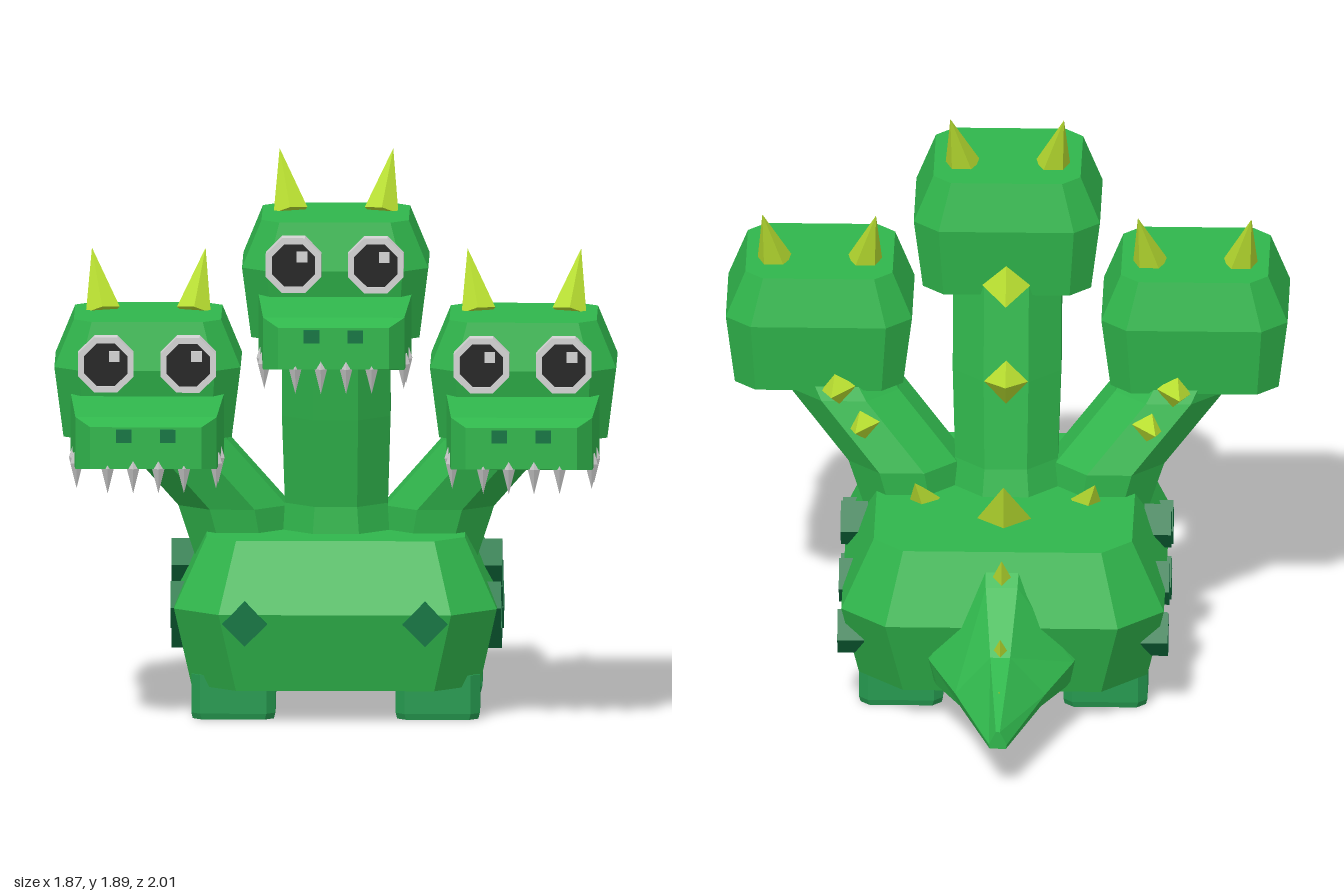
import * as THREE from 'three';

const mat = (name, color) => {
  const m = new THREE.MeshStandardMaterial({ color, flatShading: true });
  m.name = name;
  return m;
};

// Skin between closed rings of equal length, with both ends capped
function loft(rings) {
  const pos = [];
  const tri = (...pts) => pts.forEach((p) => pos.push(...p));
  const n = rings[0].length;
  for (let r = 0; r < rings.length - 1; r++) {
    const a = rings[r], b = rings[r + 1];
    for (let i = 0; i < n; i++) {
      const j = (i + 1) % n;
      tri(a[i], a[j], b[j]);
      tri(a[i], b[j], b[i]);
    }
  }
  const lo = rings[0], hi = rings[rings.length - 1];
  for (let i = 1; i < n - 1; i++) {
    tri(lo[0], lo[i + 1], lo[i]);
    tri(hi[0], hi[i], hi[i + 1]);
  }
  const g = new THREE.BufferGeometry();
  g.setAttribute('position', new THREE.Float32BufferAttribute(pos, 3));
  g.computeVertexNormals();
  return g;
}

// Level rectangle with cut corners
const cutRect = (y, hx, z0, z1, c) => [
  [c - hx, y, z1], [hx - c, y, z1], [hx, y, z1 - c], [hx, y, z0 + c],
  [hx - c, y, z0], [c - hx, y, z0], [-hx, y, z0 + c], [-hx, y, z1 - c],
];

// Level polygon for the necks
const polygon = (x, y, z, r, n = 8) => Array.from({ length: n }, (_, i) => {
  const a = ((i + 0.5) / n) * Math.PI * 2;
  return [x + r * Math.sin(a), y, z + r * Math.cos(a)];
});

export function createModel() {
  const model = new THREE.Group();
  const skin = mat('green skin', 0x30b64c);
  const footSkin = mat('foot green', 0x269a50);
  const spot = mat('dark teal spot', 0x0f7542);
  const spikeMat = mat('lime spike', 0xb8de30);
  const white = mat('pale eye rim', 0xd4d4d4);
  const black = mat('eye black', 0x222222);
  const bone = mat('tooth grey', 0xc4c4c4);

  const add = (parent, name, geometry, material, x = 0, y = 0, z = 0) => {
    const m = new THREE.Mesh(geometry, material);
    m.name = name;
    m.position.set(x, y, z);
    parent.add(m);
    return m;
  };

  // Four-sided spike from a base point to a tip
  const spike = (name, base, tip, r) => {
    const a = new THREE.Vector3(...base), b = new THREE.Vector3(...tip);
    const d = b.clone().sub(a);
    const h = d.length();
    const m = add(model, name, new THREE.ConeGeometry(r, h, 4), spikeMat);
    m.position.copy(a.add(b).multiplyScalar(0.5));
    m.quaternion.setFromUnitVectors(new THREE.Vector3(0, 1, 0), d.normalize());
  };

  // Body
  add(model, 'body', loft([
    cutRect(0.11, 0.48, -0.43, 0.6, 0.15),
    cutRect(0.375, 0.537, -0.515, 0.67, 0.15),
    cutRect(0.61, 0.43, -0.42, 0.57, 0.1),
  ]), skin);

  // Tail, from tip to base
  const tailRing = (z, w, b, t) => [
    [-w * 0.9, b, z], [w * 0.9, b, z], [w, b + (t - b) * 0.25, z],
    [w * 0.22, t, z], [-w * 0.22, t, z], [-w, b + (t - b) * 0.25, z],
  ];
  add(model, 'tail', loft([
    tailRing(-1, 0.03, 0.15, 0.21),
    tailRing(-0.68, 0.15, 0.165, 0.34),
    tailRing(-0.49, 0.24, 0.155, 0.51),
    tailRing(-0.38, 0.27, 0.15, 0.6),
  ]), skin);

  // Feet
  const footGeo = loft([
    cutRect(0, 0.135, -0.1, 0.1, 0.03),
    cutRect(0.02, 0.14, -0.105, 0.105, 0.03),
    cutRect(0.15, 0.14, -0.105, 0.105, 0.03),
  ]);
  for (const s of [-1, 1])
    for (const z of [0.405, -0.205]) add(model, 'foot', footGeo, footSkin, s * 0.34, 0, z);

  // Diamond blocks on the flanks and chest
  const flankGeo = new THREE.BoxGeometry(0.09, 0.112, 0.112).rotateX(Math.PI / 4);
  const chestGeo = new THREE.BoxGeometry(0.106, 0.106, 0.07).rotateZ(Math.PI / 4);
  for (const s of [-1, 1]) {
    for (const [z, y] of [[0.39, 0.37], [0.12, 0.475], [0.155, 0.27], [-0.115, 0.37], [-0.31, 0.27]])
      add(model, 'flankSpot', flankGeo, spot, s * 0.505, y, z);
    add(model, 'chestSpot', chestGeo, spot, s * 0.3, 0.345, 0.645);
  }

  // Necks
  add(model, 'middleNeck', loft([
    polygon(0, 0.5, 0.21, 0.22), polygon(0, 0.7, 0.23, 0.185),
    polygon(0, 1.0, 0.28, 0.195), polygon(0, 1.36, 0.34, 0.195),
  ]), skin);
  for (const s of [-1, 1])
    add(model, 'sideNeck', loft([
      polygon(s * 0.3, 0.48, 0.21, 0.17), polygon(s * 0.345, 0.69, 0.22, 0.195),
      polygon(s * 0.54, 0.92, 0.29, 0.195), polygon(s * 0.61, 1.05, 0.33, 0.18),
    ]), skin);

  // Spikes along the necks, back and tail
  spike('neckSpike', [0, 1.33, 0.15], [0, 1.3, 0.03], 0.08);
  spike('neckSpike', [0, 1.0, 0.11], [0, 1.025, -0.01], 0.08);
  for (const s of [-1, 1]) {
    spike('neckSpike', [s * 0.47, 0.84, 0.11], [s * 0.5, 0.85, 0], 0.06);
    spike('neckSpike', [s * 0.56, 0.96, 0.13], [s * 0.58, 0.97, 0.02], 0.06);
    spike('backSpike', [s * 0.27, 0.6, 0.02], [s * 0.3, 0.69, -0.04], 0.055);
  }
  spike('backSpike', [0, 0.61, -0.14], [0, 0.77, -0.25], 0.09);
  spike('tailSpike', [0, 0.5, -0.44], [0, 0.61, -0.495], 0.045);
  spike('tailSpike', [0, 0.34, -0.65], [0, 0.41, -0.69], 0.03);
  spike('tailSpike', [0, 0.255, -0.82], [0, 0.285, -0.835], 0.015);

  // Shared head geometry
  const skullGeo = loft([
    cutRect(0, 0.28, -0.235, 0.205, 0.07),
    cutRect(0.24, 0.31, -0.265, 0.265, 0.085),
    cutRect(0.4, 0.245, -0.225, 0.235, 0.06),
  ]);
  const box = (z, w, b, t) => [[-w, b, z], [w, b, z], [w, t, z], [-w, t, z]];
  const snoutGeo = loft([
    box(0.2, 0.255, -0.055, 0.155),
    box(0.54, 0.235, -0.05, 0.125),
    box(0.605, 0.185, -0.04, 0.1),
  ]);
  const toothGeo = new THREE.LatheGeometry(
    [[0, -0.085], [0.024, 0], [0.012, 0.035], [0, 0.035]].map((p) => new THREE.Vector2(...p)), 6);
  const hornGeo = new THREE.ConeGeometry(0.06, 0.22, 5);
  const octagon = (r, h) =>
    new THREE.CylinderGeometry(r, r, h, 8).rotateY(Math.PI / 8).rotateX(Math.PI / 2);
  const rimShape = new THREE.Shape();
  const hole = new THREE.Path();
  [[rimShape, 0.1], [hole, 0.078]].forEach(([path, r]) => path.setFromPoints(
    Array.from({ length: 8 }, (_, i) => {
      const a = ((i + 0.5) * Math.PI) / 4;
      return new THREE.Vector2(r * Math.cos(a), r * Math.sin(a));
    })));
  rimShape.holes.push(hole);
  const rimGeo = new THREE.ExtrudeGeometry(rimShape, { depth: 0.06, bevelEnabled: false });
  const pupilGeo = octagon(0.08, 0.05);
  const glintGeo = new THREE.BoxGeometry(0.036, 0.036, 0.008);
  const nostrilGeo = new THREE.BoxGeometry(0.052, 0.044, 0.008);

  // Heads
  for (const [name, x, y, z] of [
    ['middleHead', 0, 1.29, 0.395], ['leftHead', 0.625, 0.95, 0.365], ['rightHead', -0.625, 0.95, 0.365],
  ]) {
    const head = new THREE.Group();
    head.name = name;
    head.position.set(x, y, z);
    model.add(head);
    add(head, 'skull', skullGeo, skin);
    add(head, 'snout', snoutGeo, skin);
    for (const s of [-1, 1]) {
      add(head, 'eyeRim', rimGeo, white, s * 0.137, 0.265, 0.245);
      add(head, 'pupil', pupilGeo, black, s * 0.137, 0.265, 0.27);
      add(head, 'eyeGlint', glintGeo, white, s * 0.137 + 0.028, 0.293, 0.298);
      add(head, 'nostril', nostrilGeo, spot, s * 0.073, 0.07, 0.604);
      // Horn leaning back and outward
      const horn = add(head, 'horn', hornGeo, spikeMat, s * 0.17, 0.495, -0.1);
      horn.quaternion.setFromUnitVectors(
        new THREE.Vector3(0, 1, 0), new THREE.Vector3(s * 0.04, 0.21, -0.085).normalize());
      for (const [tx, tz] of [[0.042, 0.59], [0.127, 0.585], [0.232, 0.465], [0.238, 0.335]])
        add(head, 'tooth', toothGeo, bone, s * tx, -0.04, tz);
    }
  }
  return model;
}
